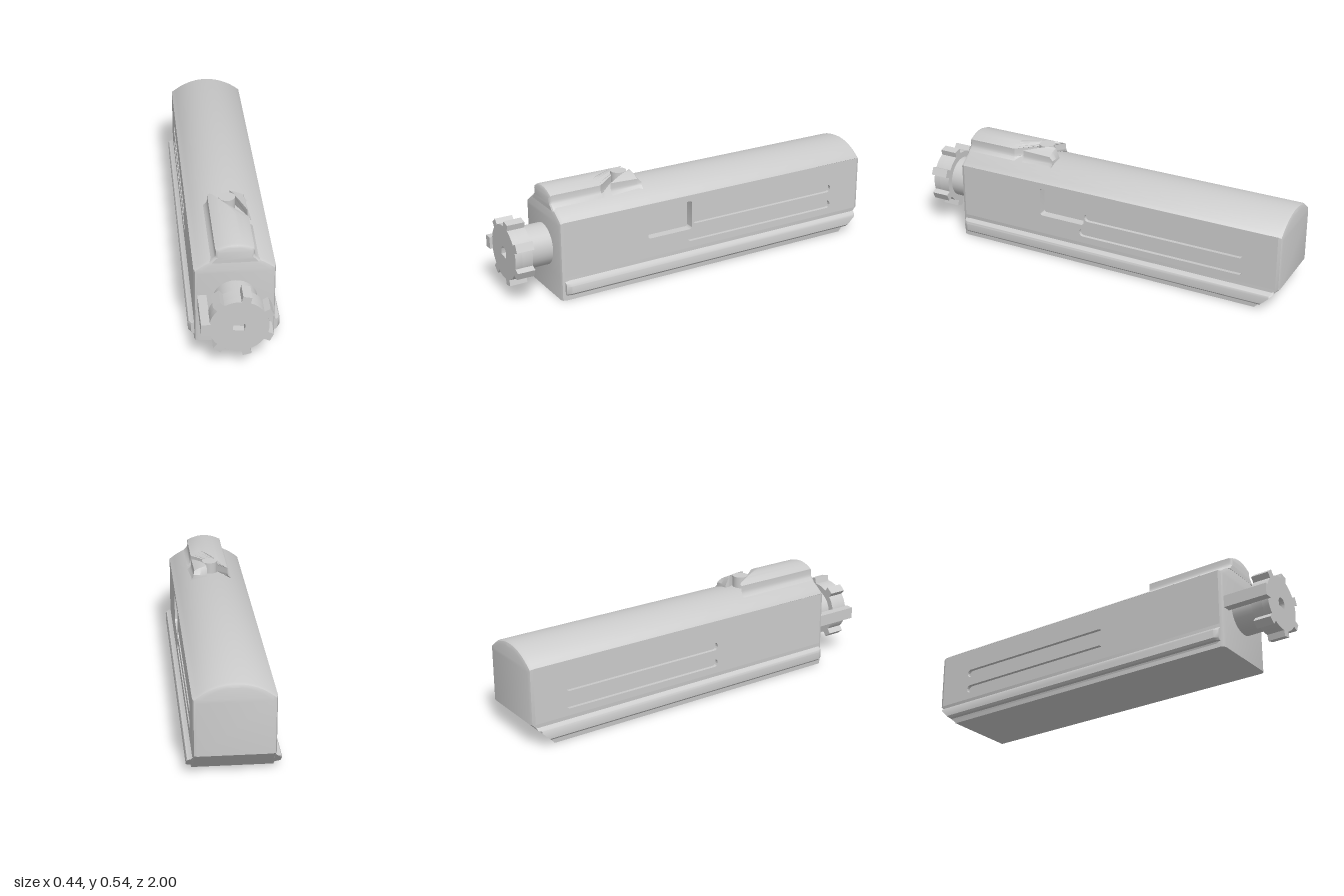
import * as THREE from 'three';
import { toCreasedNormals } from 'three/addons/utils/BufferGeometryUtils.js';

const material = new THREE.MeshStandardMaterial({ color: 0xcccccc, side: THREE.DoubleSide });
const V = (x, y, z) => new THREE.Vector3(x, y, z);

// Joins rings of points (ordered back to front, counter-clockwise seen from +z)
function loft(rings, { caps = true, skip = () => false } = {}) {
  const n = rings[0].length, pos = [];
  const quad = (a, b, c, d) => [a, b, d, b, c, d].forEach(p => pos.push(p.x, p.y, p.z));
  for (let i = 0; i < rings.length - 1; i++) {
    const r = rings[i], s = rings[i + 1];
    for (let j = 0; j < n; j++) {
      const k = (j + 1) % n;
      if (!skip(i, j)) quad(r[j], r[k], s[k], s[j]);
    }
  }
  if (caps) {
    const b = rings[0], f = rings[rings.length - 1];
    for (let k = 0; k + 1 <= n - 2 - k; k++) {
      quad(f[k], f[k + 1], f[n - 2 - k], f[n - 1 - k]);
      quad(b[n - 1 - k], b[n - 2 - k], b[k + 1], b[k]);
    }
  }
  const g = new THREE.BufferGeometry();
  g.setAttribute('position', new THREE.Float32BufferAttribute(pos, 3));
  return toCreasedNormals(g, 0.6);
}

// Sloped cut under the rear end
const rearCut = p => V(p.x, p.y, Math.max(p.z, -0.88 - p.y));
const roofY = x => 0.475 - (0.278 - Math.sqrt(0.278 ** 2 - x * x));

// Rounded rectangle in the side plane; s = 1 for the +x side, -1 for the -x side
function slot(Type, s, z0, z1, y0, y1, r) {
  const u0 = Math.min(-s * z0, -s * z1), u1 = Math.max(-s * z0, -s * z1), p = new Type();
  p.absarc(u1 - r, y0 + r, r, -Math.PI / 2, 0);
  p.absarc(u1 - r, y1 - r, r, 0, Math.PI / 2);
  p.absarc(u0 + r, y1 - r, r, Math.PI / 2, Math.PI);
  p.absarc(u0 + r, y0 + r, r, Math.PI, Math.PI * 1.5);
  p.closePath();
  return p;
}

export function createModel() {
  const root = new THREE.Group();
  const add = (name, geometry, parent = root) => {
    const m = new THREE.Mesh(geometry, material);
    m.name = name;
    parent.add(m);
    return m;
  };

  // Housing with an arched roof and rounded ends
  const outline = [[0.19, 0], [0.19, 0.12]];
  for (let i = 0; i <= 17; i++) {
    const x = 0.19 * (1 - 2 * i / 17);
    outline.push([x, roofY(x) + (i === 0 || i === 17 ? 0.002 : 0)]);
  }
  outline.push([-0.19, 0.12], [-0.19, 0]);
  const ends = [[-1, 0.02], [-0.994, 0.006], [-0.98, 0], [0.755, 0], [0.769, 0.006], [0.775, 0.02]];
  const bodyRings = ends.map(([z, d]) => outline.map(([x, y]) =>
    rearCut(V(x * (1 - d / 0.19), y > 0.3 ? y - d : y, z))));
  const last = outline.length;
  add('housing', loft(bodyRings, { skip: (i, j) => i === 2 && (j === 1 || j === last - 3) }));

  // Side panels with sunken grooves, and a pocket on one side
  for (const s of [1, -1]) {
    const side = new THREE.Group();
    side.name = s > 0 ? 'leftSide' : 'rightSide';
    side.rotation.y = s * Math.PI / 2;
    side.position.x = s * 0.19;
    root.add(side);
    const panel = slot(THREE.Shape, s, -0.98, 0.755, 0.12, 0.401, 0.0001);
    const recesses = [
      ['lowerGroove', -0.81, 0.075, 0.155, 0.197, 0.02, 0.018],
      ['upperGroove', -0.81, s > 0 ? 0.045 : 0.075, 0.245, 0.287, 0.02, 0.018],
    ];
    if (s > 0) recesses.push(['pocket', 0.05, 0.3, 0.22, 0.37, 0.012, 0.045]);
    for (const [name, z0, z1, y0, y1, r, depth] of recesses) {
      panel.holes.push(slot(THREE.Path, s, z0, z1, y0, y1, r));
      const hole = slot(THREE.Shape, s, z0, z1, y0, y1, r);
      const pts = hole.getPoints(6);
      add(name + 'Wall', loft([-depth, 0].map(z => pts.map(p => V(p.x, p.y, z))), { caps: false }), side);
      add(name + 'Floor', new THREE.ShapeGeometry(hole, 6), side).position.z = -depth;
    }
    add('sidePanel', new THREE.ShapeGeometry(panel, 6), side);

    // Rail along the foot of the side
    const railOutline = [[0.185, 0], [0.192, 0.03], [0.208, 0.032], [0.217, 0.042],
      [0.218, 0.08], [0.213, 0.09], [0.203, 0.093], [0.185, 0.105]];
    const railRings = [[-0.975, 0.7], [-0.96, 1], [0.735, 1], [0.757, 0.6]].map(([z, k]) => {
      const ring = railOutline.map(([x, y]) => rearCut(V(s * (0.185 + (x - 0.185) * k), y, z)));
      return s > 0 ? ring : ring.reverse();
    });
    add('rail', loft(railRings));
  }

  // Raised ridge on the roof, split by a slanting slot
  const ridgeTop = x => 0.535 - 3.1 * x * x;
  const row = (a, b, n) => Array.from({ length: n + 1 }, (_, i) => a + (b - a) * i / n)
    .map(x => [x, ridgeTop(x)]);
  const foot = [[0.122, 0.44], [0.107, 0.455], [0.094, 0.468], [0.09, 0.483]];
  const mirrored = foot.map(([x, y]) => [-x, y]).reverse();
  const place = (pts, zOf, d = 0) => pts.map(([x, y]) =>
    V(x * (1 - d / 0.12), y > 0.47 ? y - d : y, zOf(x)));
  const frontRidge = [...foot, ...row(0.09, -0.09, 16), ...mirrored];
  const slotFront = x => Math.max(0.3, Math.min(0.45 + 2 * x, 0.55 - 0.5 * x));
  add('frontRidge', loft([
    place(frontRidge, slotFront),
    place(frontRidge, () => 0.758),
    place(frontRidge, () => 0.77, 0.004),
    place(frontRidge, () => 0.776, 0.014),
  ]));
  const rearRidge = [...foot, ...row(0.09, 0.02, 6), [0.018, 0.44]];
  const slotRear = x => Math.max(0.305, Math.min(0.27 + 2 * x, 0.45));
  add('rearRidge', loft([
    place(rearRidge, () => 0.28).map(p => V(p.x, Math.min(p.y, 0.485), p.z)),
    place(rearRidge, () => 0.3, 0.008),
    place(rearRidge, slotRear),
  ]));
  add('slotPost', new THREE.CylinderGeometry(0.04, 0.04, 0.1, 24)).position.set(0, 0.482, 0.36);

  // Turning knob on a shaft at the front
  const knob = new THREE.Group();
  knob.name = 'knob';
  knob.position.set(0, 0.235, 0);
  root.add(knob);
  const shaft = add('shaft', new THREE.CylinderGeometry(0.105, 0.105, 0.15, 32), knob);
  shaft.rotation.x = Math.PI / 2;
  shaft.position.z = 0.835;
  const disc = (name, z, depth, hole) => {
    const shape = new THREE.Shape().absarc(0, 0, 0.137, 0, Math.PI * 2);
    if (hole) shape.holes.push(hole);
    const g = new THREE.ExtrudeGeometry(shape, { depth, bevelEnabled: false, curveSegments: 20 });
    add(name, toCreasedNormals(g, 0.6), knob).position.z = z;
  };
  // D-shaped socket in the knob face
  const socket = new THREE.Path().moveTo(-0.028, -0.018).lineTo(0.024, -0.025);
  socket.lineTo(0.028, 0.005).absarc(0, 0, 0.028, 0.2, Math.PI - 0.1);
  socket.closePath();
  disc('knobBack', 0.895, 0.055);
  disc('knobFace', 0.95, 0.035, socket);

  // Grip teeth around the rim; one place holds the long pointer arm
  for (let k = 1; k < 7; k++) {
    const a = Math.PI + k * Math.PI * 2 / 7;
    const tooth = add('tooth', new THREE.BoxGeometry(0.05, 0.042, 0.09), knob);
    tooth.position.set(0.14 * Math.cos(a), 0.14 * Math.sin(a), 0.94);
    tooth.rotation.z = a;
  }
  add('pointerArm', new THREE.BoxGeometry(0.042, 0.06, 0.23), knob).position.set(-0.153, 0, 0.885);
  return root;
}
